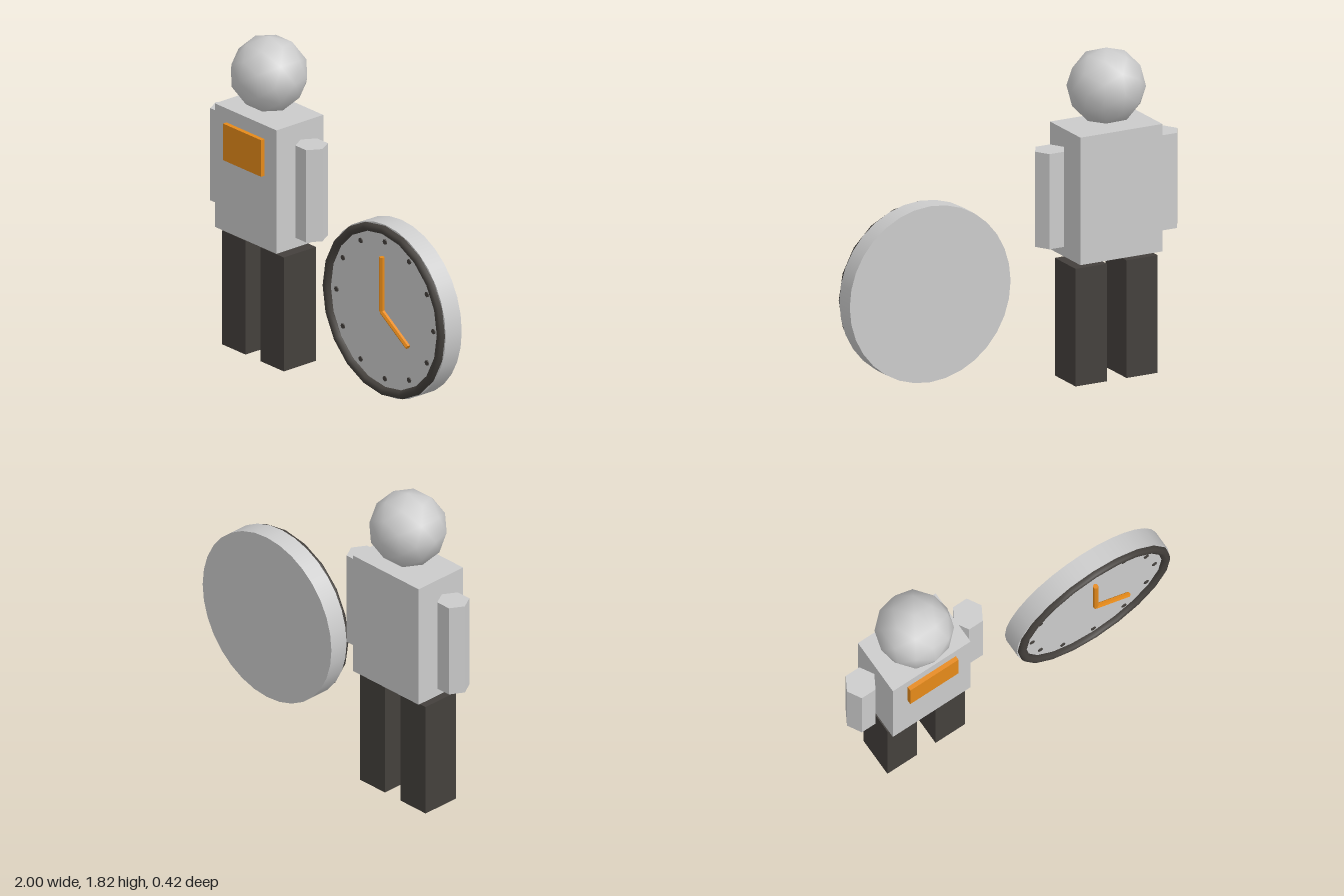
import * as THREE from 'three';

const grey = new THREE.MeshStandardMaterial({ color: 0xcccccc });
const greyFlat = new THREE.MeshStandardMaterial({ color: 0xcccccc, flatShading: true });
const dark = new THREE.MeshStandardMaterial({ color: 0x44403c });
const orange = new THREE.MeshStandardMaterial({ color: 0xe68a1a });
const orangeFlat = new THREE.MeshStandardMaterial({ color: 0xe68a1a, flatShading: true });

function add(parent, name, geometry, material, x = 0, y = 0, z = 0) {
  const mesh = new THREE.Mesh(geometry, material);
  mesh.name = name;
  mesh.position.set(x, y, z);
  parent.add(mesh);
  return mesh;
}

function createFigure() {
  const figure = new THREE.Group();
  figure.name = 'figure';
  figure.position.x = -0.567;

  add(figure, 'head', new THREE.IcosahedronGeometry(0.212, 1), grey, 0, 1.607, 0);
  add(figure, 'torso', new THREE.BoxGeometry(0.5, 0.71, 0.33), grey, 0, 1.045, 0);
  add(figure, 'chestPanel', new THREE.BoxGeometry(0.31, 0.21, 0.04), orange, 0, 1.215, 0.17);

  // Mirrored hexagonal arms and square legs
  for (const [side, s] of [['left', 1], ['right', -1]]) {
    const arm = new THREE.CylinderGeometry(0.088, 0.088, 0.53, 6).rotateY(Math.PI / 6);
    add(figure, side + 'Arm', arm, greyFlat, s * 0.345, 1.04, 0);
    add(figure, side + 'Leg', new THREE.BoxGeometry(0.19, 0.655, 0.226), dark, s * 0.155, 0.3275, 0);
  }
  return figure;
}

function createClock() {
  const clock = new THREE.Group();
  clock.name = 'clock';
  clock.position.set(0.506, 0.609, 0);

  const body = new THREE.CylinderGeometry(0.49, 0.49, 0.113, 32).rotateX(Math.PI / 2);
  add(clock, 'clockBody', body, grey, 0, 0, 0.0565);
  add(clock, 'rim', new THREE.TorusGeometry(0.463, 0.0245, 8, 20), dark, 0, 0, 0.12);

  // Hour marks
  const markGeometry = new THREE.CylinderGeometry(0.015, 0.015, 0.012, 8).rotateX(Math.PI / 2);
  for (let i = 0; i < 12; i++) {
    const a = (i * Math.PI) / 6;
    add(clock, 'hourMark', markGeometry, dark, 0.393 * Math.sin(a), 0.393 * Math.cos(a), 0.113);
  }

  // Hands run from the centre to their tips
  for (const [name, x, y] of [['minuteHand', 0, 0.312], ['hourHand', 0.212, -0.141]]) {
    const length = Math.hypot(x, y);
    const hand = new THREE.CylinderGeometry(0.015, 0.015, length, 6).translate(0, length / 2, 0);
    add(clock, name, hand, orangeFlat, 0, 0, 0.137).rotation.z = Math.atan2(-x, y);
  }
  return clock;
}

export function createModel() {
  const model = new THREE.Group();
  model.name = 'figureWithClock';
  model.add(createFigure(), createClock());
  return model;
}
